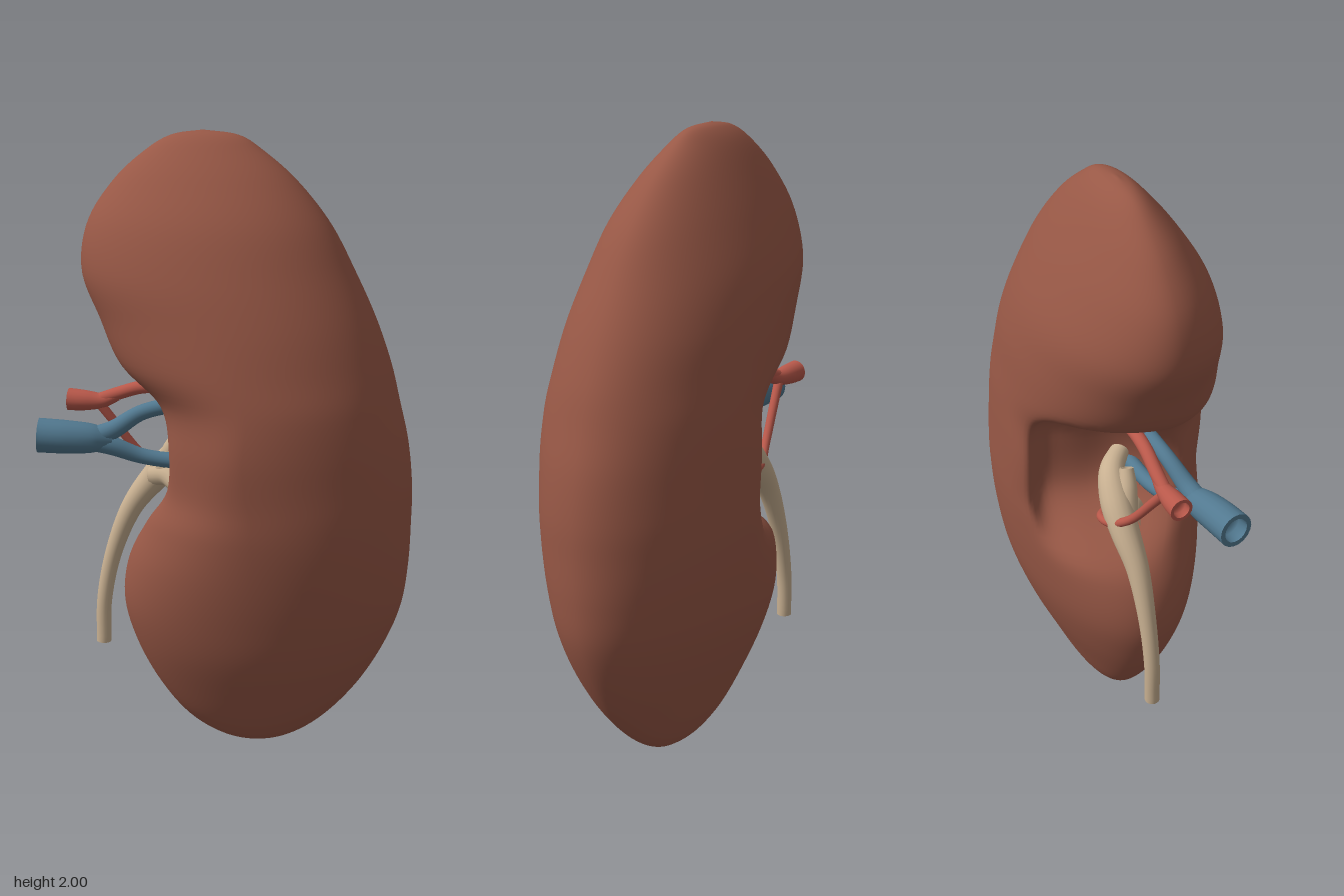
import * as THREE from 'three';
import { mergeVertices } from 'three/addons/utils/BufferGeometryUtils.js';

const material = (name, color) => {
  const m = new THREE.MeshStandardMaterial({ color });
  m.name = name;
  return m;
};

// Skin a list of closed rings (arrays of Vector3) into one surface
function skin(rings) {
  const n = rings[0].length, pos = [], idx = [];
  rings.forEach((ring, j) => ring.forEach((p, i) => {
    pos.push(p.x, p.y, p.z);
    if (j === rings.length - 1) return;
    const a = j * n + i, b = j * n + (i + 1) % n;
    idx.push(a, a + n, b, b, a + n, b + n);
  }));
  const g = new THREE.BufferGeometry();
  g.setAttribute('position', new THREE.Float32BufferAttribute(pos, 3));
  g.setIndex(idx);
  g.computeVertexNormals();
  return g;
}

// Tapered tube with a hollow mouth at its first point; points are [x, y, z, radius]
function vessel(points, steps = 28, sides = 18) {
  const curve = new THREE.CatmullRomCurve3(points.map(p => new THREE.Vector3(p[0], p[1], p[2])));
  const radii = new THREE.CatmullRomCurve3(points.map((p, i) => new THREE.Vector3(p[3], i, 0)), false, 'catmullrom', 0.5);
  const pts = [], N = [], B = [], rad = [];
  let normal = new THREE.Vector3(0, 0, 1);
  for (let i = 0; i <= steps; i++) {
    const t = curve.getTangent(i / steps);
    normal = normal.clone().addScaledVector(t, -normal.dot(t)).normalize();
    pts.push(curve.getPoint(i / steps));
    N.push(normal);
    B.push(t.clone().cross(normal));
    rad.push(radii.getPoint(i / steps).x);
  }
  const ring = (i, k) => Array.from({ length: sides }, (_, s) => {
    const a = s / sides * Math.PI * 2;
    return pts[i].clone()
      .addScaledVector(N[i], Math.cos(a) * rad[i] * k)
      .addScaledVector(B[i], -Math.sin(a) * rad[i] * k);
  });
  // lumen, rim, then outer wall
  const rings = [ring(4, 0.02), ring(4, 0.7), ring(0, 0.72), ring(0, 0.72), ring(0, 1)];
  for (let i = 0; i <= steps; i++) rings.push(ring(i, 1));
  return skin(rings);
}

// Bean-shaped body: [y, right edge, left edge, front depth, back depth]
function bodyGeometry() {
  const rows = [
    [0.003, 0.085, 0.085, -0.035, -0.035],
    [0.03, -0.03, 0.20, 0.02, -0.075],
    [0.10, -0.14, 0.31, 0.075, -0.12],
    [0.22, -0.235, 0.42, 0.14, -0.175],
    [0.36, -0.305, 0.505, 0.205, -0.235],
    [0.50, -0.34, 0.56, 0.25, -0.28],
    [0.64, -0.32, 0.58, 0.285, -0.305],
    [0.78, -0.25, 0.585, 0.31, -0.32],
    [0.90, -0.175, 0.585, 0.32, -0.325],
    [1.04, -0.165, 0.57, 0.33, -0.325],
    [1.17, -0.20, 0.54, 0.325, -0.32],
    [1.29, -0.335, 0.51, 0.31, -0.315],
    [1.43, -0.405, 0.46, 0.285, -0.305],
    [1.57, -0.46, 0.395, 0.25, -0.28],
    [1.72, -0.44, 0.315, 0.195, -0.225],
    [1.85, -0.355, 0.21, 0.115, -0.165],
    [1.94, -0.255, 0.105, 0.045, -0.115],
    [1.985, -0.175, 0.03, 0.0, -0.075],
    [2.0, -0.08, -0.08, -0.04, -0.04]
  ];
  const spline = f => new THREE.CatmullRomCurve3(rows.map(f), false, 'catmullrom', 0.5);
  const edges = spline(r => new THREE.Vector3(r[1], r[0], r[2]));
  const depth = spline(r => new THREE.Vector3(r[3], r[0], r[4]));
  const rings = [], steps = 110, sides = 96;
  for (let j = 0; j <= steps; j++) {
    const e = edges.getPoint(j / steps), d = depth.getPoint(j / steps), y = e.y;
    const near = Math.exp(-(((y - 1.0) / 0.24) ** 6));   // height of the hollow
    const waist = Math.exp(-(((y - 1.0) / 0.25) ** 2));
    const crest = (e.x + e.z) / 2 - 0.12 * waist;         // where the body is thickest
    rings.push(Array.from({ length: sides }, (_, i) => {
      const a = i / sides * Math.PI * 2, c = Math.cos(a), s = Math.sin(a);
      // the inner edge swings forward at the waist to form the front lip
      const end = THREE.MathUtils.clamp(-0.04, d.z, d.x) + (c < 0 ? 0.17 * waist * c * c : 0);
      const z = end + (s > 0 ? d.x - end : end - d.z) * s;
      const x = crest + (c > 0 ? e.z - crest : crest - e.x) * c;
      // hollow pressed in between the front and back lips
      const dent = near * Math.exp(-(((a - 3.76) / 0.47) ** 4));
      return new THREE.Vector3(x + 0.14 * dent, y, z + 0.02 * dent);
    }));
  }
  const g = skin(rings);
  g.deleteAttribute('normal');
  const welded = mergeVertices(g, 1e-5);
  welded.computeVertexNormals();
  return welded;
}

export function createModel() {
  const model = new THREE.Group();
  model.name = 'kidney';
  const tissue = material('kidney brown', 0x985846);
  const blue = material('vein blue', 0x527990);
  const red = material('artery red', 0xb8584a);
  const beige = material('ureter beige', 0xc8b091);
  const add = (name, geometry, mat) => {
    const mesh = new THREE.Mesh(geometry, mat);
    mesh.name = name;
    model.add(mesh);
  };

  add('kidneyBody', bodyGeometry(), tissue);

  // Vein: wide trunk forking into two branches
  add('veinTrunk', vessel([[-0.59, 1.055, 0.08, 0.055], [-0.50, 1.05, 0.072, 0.053], [-0.42, 1.045, 0.06, 0.046], [-0.36, 1.04, 0.05, 0.026]]), blue);
  add('veinUpperBranch', vessel([[-0.43, 1.045, 0.06, 0.034], [-0.36, 1.07, 0.05, 0.030], [-0.27, 1.125, 0.03, 0.025], [-0.17, 1.15, 0.02, 0.025], [-0.04, 1.16, 0.02, 0.025]]), blue);
  add('veinLowerBranch', vessel([[-0.43, 1.04, 0.06, 0.034], [-0.36, 1.02, 0.05, 0.030], [-0.27, 0.985, 0.03, 0.025], [-0.17, 0.97, 0.02, 0.025], [-0.04, 0.97, 0.02, 0.025]]), blue);

  // Artery: short trunk with an upper and a lower branch
  add('arteryTrunk', vessel([[-0.523, 1.14, -0.067, 0.036], [-0.47, 1.138, -0.066, 0.033], [-0.41, 1.14, -0.064, 0.024], [-0.36, 1.16, -0.06, 0.018]]), red);
  add('arteryUpperBranch', vessel([[-0.43, 1.14, -0.065, 0.02], [-0.36, 1.165, -0.06, 0.021], [-0.28, 1.19, -0.05, 0.021], [-0.18, 1.195, -0.04, 0.021], [-0.05, 1.18, -0.04, 0.02]]), red);
  add('arteryLowerBranch', vessel([[-0.43, 1.14, -0.065, 0.016], [-0.38, 1.07, -0.08, 0.015], [-0.29, 0.95, -0.11, 0.014], [-0.22, 0.90, -0.14, 0.014], [-0.16, 0.885, -0.14, 0.014], [-0.11, 0.87, -0.07, 0.014], [-0.05, 0.86, 0.02, 0.014]]), red);

  // Ureter widening into the pelvis, with two short calyx branches
  add('ureter', vessel([[-0.43, 0.30, -0.10, 0.024], [-0.425, 0.45, -0.10, 0.025], [-0.39, 0.62, -0.10, 0.028], [-0.325, 0.78, -0.10, 0.036], [-0.25, 0.88, -0.105, 0.046], [-0.185, 0.95, -0.10, 0.05], [-0.12, 1.01, -0.08, 0.04], [-0.06, 1.03, -0.02, 0.03]], 48), beige);
  add('upperCalyx', vessel([[-0.16, 1.04, -0.05, 0.022], [-0.185, 0.99, -0.06, 0.03], [-0.21, 0.92, -0.08, 0.04]]), beige);
  add('lowerCalyx', vessel([[-0.16, 0.88, -0.03, 0.036], [-0.20, 0.90, -0.06, 0.036], [-0.25, 0.89, -0.09, 0.036]]), beige);

  return model;
}
